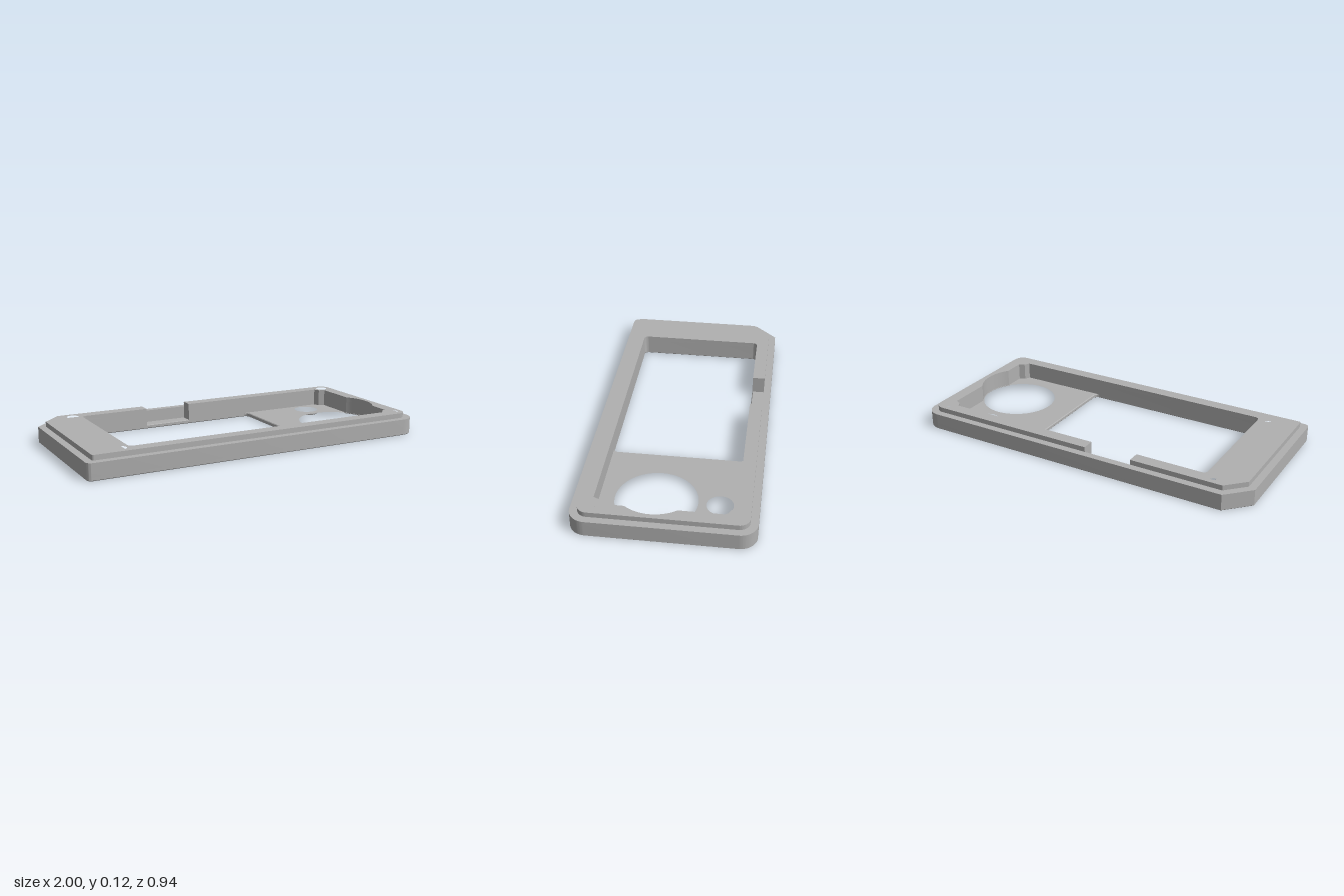
import * as THREE from 'three';
import { toCreasedNormals } from 'three/addons/utils/BufferGeometryUtils.js';

// Trace [x, z, cornerRadius] points as a closed path (z is flipped for the later lay-down rotation)
function trace(path, pts) {
  const v = pts.map(([x, z]) => new THREE.Vector2(x, -z));
  pts.forEach(([, , r = 0], i) => {
    const p = v[i];
    const toward = (q, d) => p.clone().add(q.clone().sub(p).setLength(d));
    const prev = v[(i + v.length - 1) % v.length], next = v[(i + 1) % v.length];
    const a = r ? toward(prev, r) : p;
    if (i === 0) path.moveTo(a.x, a.y); else path.lineTo(a.x, a.y);
    if (r) {
      const b = toward(next, r), c = toward(prev, r * 0.448), d = toward(next, r * 0.448);
      path.bezierCurveTo(c.x, c.y, d.x, d.y, b.x, b.y);
    }
  });
  path.closePath();
  return path;
}

function circle(x, z, r) {
  return new THREE.Path().absarc(x, -z, r, 0, Math.PI * 2, true);
}

export function createModel() {
  const group = new THREE.Group();
  group.name = 'bezelFrame';
  const grey = new THREE.MeshStandardMaterial({ color: 0xb0b0b0 });
  grey.name = 'grey plastic';

  // Extrude a flat shape from height y0 to y1
  function layer(name, shape, y0, y1, bevel = 0) {
    let geo = new THREE.ExtrudeGeometry(shape, {
      depth: y1 - y0 - 2 * bevel, curveSegments: 24, bevelEnabled: bevel > 0,
      bevelThickness: bevel, bevelSize: bevel, bevelOffset: -bevel, bevelSegments: 1,
    });
    geo.rotateX(-Math.PI / 2);
    geo.translate(0, y0 + bevel, 0);
    geo = toCreasedNormals(geo, 0.5);
    const mesh = new THREE.Mesh(geo, grey);
    mesh.name = name;
    group.add(mesh);
  }

  const outline = [
    [-0.875, -0.47], [0.999, -0.47, 0.09], [0.999, 0.47, 0.09], [-1, 0.47, 0.03], [-1, -0.345],
  ];
  const screws = () => [-0.79, 0.9].flatMap(x => [-0.37, 0.37].map(z => circle(x, z, 0.033)));
  const dial = { x: 0.712, z: 0.064, r: 0.221 };

  // Inner wall: from the notch's left side round to its right side
  const wallX = 0.888;
  const half = Math.asin((wallX - dial.x) / dial.r);
  const bite = [];
  for (let i = 0; i <= 20; i++) {
    const t = half + (Math.PI - 2 * half) * (i / 20);
    bite.push([dial.x + dial.r * Math.sin(t), dial.z - dial.r * Math.cos(t)]);
  }
  bite.reverse();
  const inner = [
    [-0.34, -0.36], [-0.74, -0.36, 0.025], [-0.74, 0.36, 0.025],
    [0.84, 0.36], [0.855, 0.33], [wallX, 0.315],
    ...bite,
    [wallX, -0.315], [0.855, -0.33], [0.84, -0.36], [-0.065, -0.36],
  ];
  const notch = [[-0.065, -0.43], [-0.34, -0.43]];

  // Thin floor with the window, the two round openings and screw holes
  const floor = trace(new THREE.Shape(), outline);
  floor.holes.push(
    trace(new THREE.Path(), [
      [-0.74, -0.36, 0.025], [-0.74, 0.36, 0.025], [0.34, 0.36, 0.025], [0.34, -0.36, 0.025],
    ]),
    circle(dial.x, dial.z, dial.r), circle(0.715, -0.265, 0.075), ...screws());
  layer('floorPlate', floor, 0, 0.022, 0.004);

  // Surrounding walls with the notch pocket
  const walls = trace(new THREE.Shape(), outline);
  walls.holes.push(trace(new THREE.Path(), [...inner, ...notch]), ...screws());
  layer('outerWall', walls, 0.017, 0.092);

  // Inset raised lip, open at the notch
  const lip = trace(new THREE.Shape(), [
    notch[0], [0.96, -0.43, 0.055], [0.96, 0.43, 0.055], [-0.96, 0.43, 0.01],
    [-0.96, -0.33], [-0.86, -0.43], notch[1], ...inner,
  ]);
  lip.holes.push(...screws());
  layer('raisedLip', lip, 0.092, 0.12);

  return group;
}
